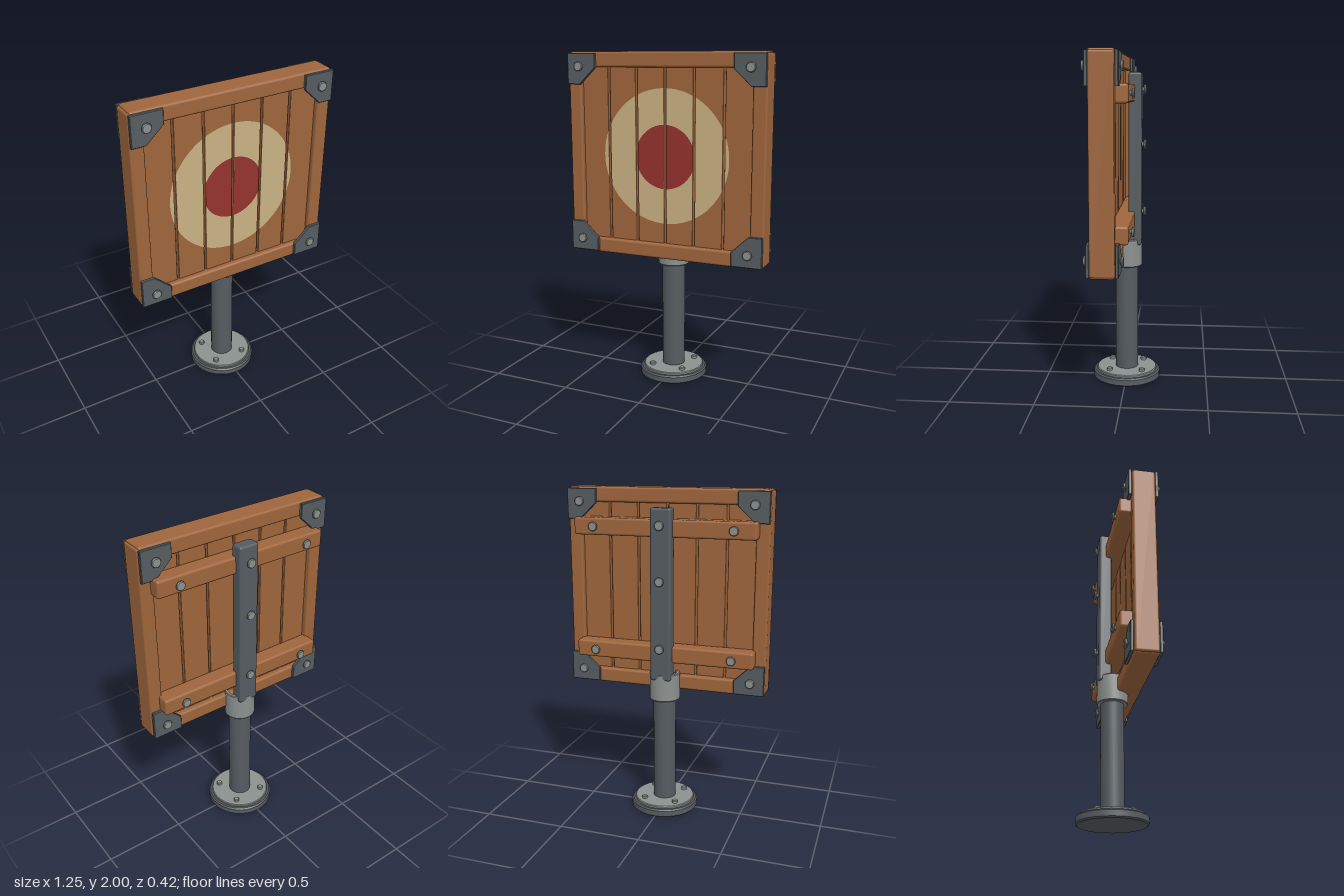
import * as THREE from 'three';
import { RoundedBoxGeometry } from 'three/addons/geometries/RoundedBoxGeometry.js';
import { toCreasedNormals } from 'three/addons/utils/BufferGeometryUtils.js';

const material = (name, color) => Object.assign(new THREE.MeshStandardMaterial({ color }), { name });

export function createModel() {
  const wood = material('wood', 0x9e653c);
  const iron = material('dark iron', 0x555c60);
  const steel = material('light steel', 0x8b918f);
  const cream = material('cream paint', 0xc9b183);
  const red = material('red paint', 0x95322d);

  const model = new THREE.Group();
  model.name = 'targetBoard';

  const add = (name, geometry, mat, parent = model) => {
    const mesh = new THREE.Mesh(geometry, mat);
    mesh.name = name;
    parent.add(mesh);
    return mesh;
  };
  const group = (name) => {
    const g = new THREE.Group();
    g.name = name;
    model.add(g);
    return g;
  };
  // Rounded box given by its limits on each axis
  const box = (name, [x0, x1], [y0, y1], [z0, z1], r, mat, parent) => {
    const mesh = add(name, new RoundedBoxGeometry(x1 - x0, y1 - y0, z1 - z0, 2, r), mat, parent);
    mesh.position.set((x0 + x1) / 2, (y0 + y1) / 2, (z0 + z1) / 2);
    return mesh;
  };
  // Turned part from [radius, height] pairs, bottom to top
  const turned = (name, profile, sides, mat, parent) => add(name, toCreasedNormals(
    new THREE.LatheGeometry(profile.map(([r, y]) => new THREE.Vector2(r, y)), sides), 0.6), mat, parent);

  // Base plate, flange and anchor bolts
  turned('basePlate', [[0, 0], [0.2, 0], [0.209, 0.008], [0.209, 0.042], [0.2, 0.05], [0, 0.05]], 32, iron);
  turned('baseFlange', [[0, 0.049], [0.187, 0.049], [0.187, 0.06], [0.183, 0.065], [0, 0.065]], 32, steel);
  const anchors = group('anchorBolts');
  for (const x of [-0.1, 0.1]) for (const z of [-0.1, 0.1]) {
    turned('anchorBolt', [[0, 0.06], [0.018, 0.06], [0.018, 0.078], [0.014, 0.082], [0, 0.082]], 12, steel, anchors)
      .position.set(x, 0, z);
  }

  // Pole, open collar and upright bar
  turned('pole', [[0, 0.05], [0.07, 0.05], [0.07, 0.84], [0, 0.84]], 24, iron);
  turned('collar', [[0.068, 0.72], [0.09, 0.72], [0.094, 0.725], [0.094, 0.885], [0.09, 0.89],
    [0.076, 0.89], [0.076, 0.82], [0.068, 0.82]], 24, steel);
  box('uprightBar', [-0.064, 0.064], [0.855, 1.89], [-0.092, -0.013], 0.014, iron);

  // Frame rails
  const frame = group('frame');
  for (const s of [-1, 1]) {
    const x = s * 0.5815, y = 1.39 + s * 0.5645;
    box('sideRail', [x - 0.0415, x + 0.0415], [0.79, 1.99], [0.019, 0.157], 0.012, wood, frame);
    box('crossRail', [-0.612, 0.612], [y - 0.0455, y + 0.0455], [0.017, 0.159], 0.014, wood, frame);
  }

  // Part of a painted disc lying between x0 and x1
  const discStrip = (radius, x0, x1) => {
    const a = Math.max(x0, -radius), b = Math.min(x1, radius), n = 24;
    if (a >= b) return null;
    const top = [], bottom = [];
    for (let i = 0; i <= n; i++) {
      const x = a + (b - a) * i / n;
      const h = Math.sqrt(Math.max(radius * radius - x * x, 1e-8));
      top.unshift(new THREE.Vector2(x, h));
      bottom.push(new THREE.Vector2(x, -h));
    }
    return new THREE.ShapeGeometry(new THREE.Shape([...bottom, ...top]));
  };

  // Six planks with the rings painted across them
  const planks = group('planks'), paint = group('paintedRings');
  for (let i = 0; i < 6; i++) {
    const x = (i - 2.5) * 0.183, x0 = x - 0.0855, x1 = x + 0.0855;
    box('plank', [x0, x1], [0.84, 1.94], [0.053, 0.127], 0.004, wood, planks);
    for (const [name, radius, z, mat] of [['outerRing', 0.4, 0.1285, cream], ['bullseye', 0.19, 0.13, red]]) {
      const geometry = discStrip(radius, x0 + 0.002, x1 - 0.002);
      if (geometry) add(name, geometry, mat, paint).position.set(0, 1.392, z);
    }
  }

  // Bolt head on a short shank; dir is the way it faces along z
  const bolts = group('bolts');
  const bolt = (x, y, z, dir) => {
    const mesh = turned('bolt', [[0, -0.02], [0.013, -0.02], [0.013, 0], [0.024, 0], [0.028, 0.004],
      [0.028, 0.011], [0.024, 0.015], [0, 0.015]], 16, steel, bolts);
    mesh.position.set(x, y, z);
    mesh.rotation.x = dir * Math.PI / 2;
  };

  // Back battens and their bolts
  const battens = group('battens');
  for (const y of [1.012, 1.77]) {
    box('batten', [-0.56, 0.56], [y - 0.052, y + 0.052], [-0.051, 0.056], 0.014, wood, battens);
    for (const x of [-0.43, 0.43]) bolt(x, y, -0.061, -1);
  }
  for (const y of [1.057, 1.465, 1.79]) bolt(0, y, -0.102, -1);

  // Clipped corner brackets, front and back
  const brackets = group('cornerBrackets');
  const outline = [[0.62, 0.6], [0.434, 0.6], [0.434, 0.515], [0.537, 0.418], [0.62, 0.418]];
  for (const sx of [-1, 1]) for (const sy of [-1, 1]) {
    const shape = new THREE.Shape(outline.map(([x, y]) => new THREE.Vector2(sx * x, sy * y)));
    const plate = new THREE.ExtrudeGeometry(shape, {
      depth: 0.014, bevelEnabled: true, bevelSize: 0.003, bevelOffset: -0.003, bevelThickness: 0.003, bevelSegments: 1,
    });
    for (const z of [0.159, -0.002]) add('cornerBracket', plate, iron, brackets).position.set(0, 1.39, z);
    bolt(sx * 0.537, 1.39 + sy * 0.523, 0.183, 1);
    bolt(sx * 0.537, 1.39 + sy * 0.523, -0.01, -1);
  }

  return model;
}
